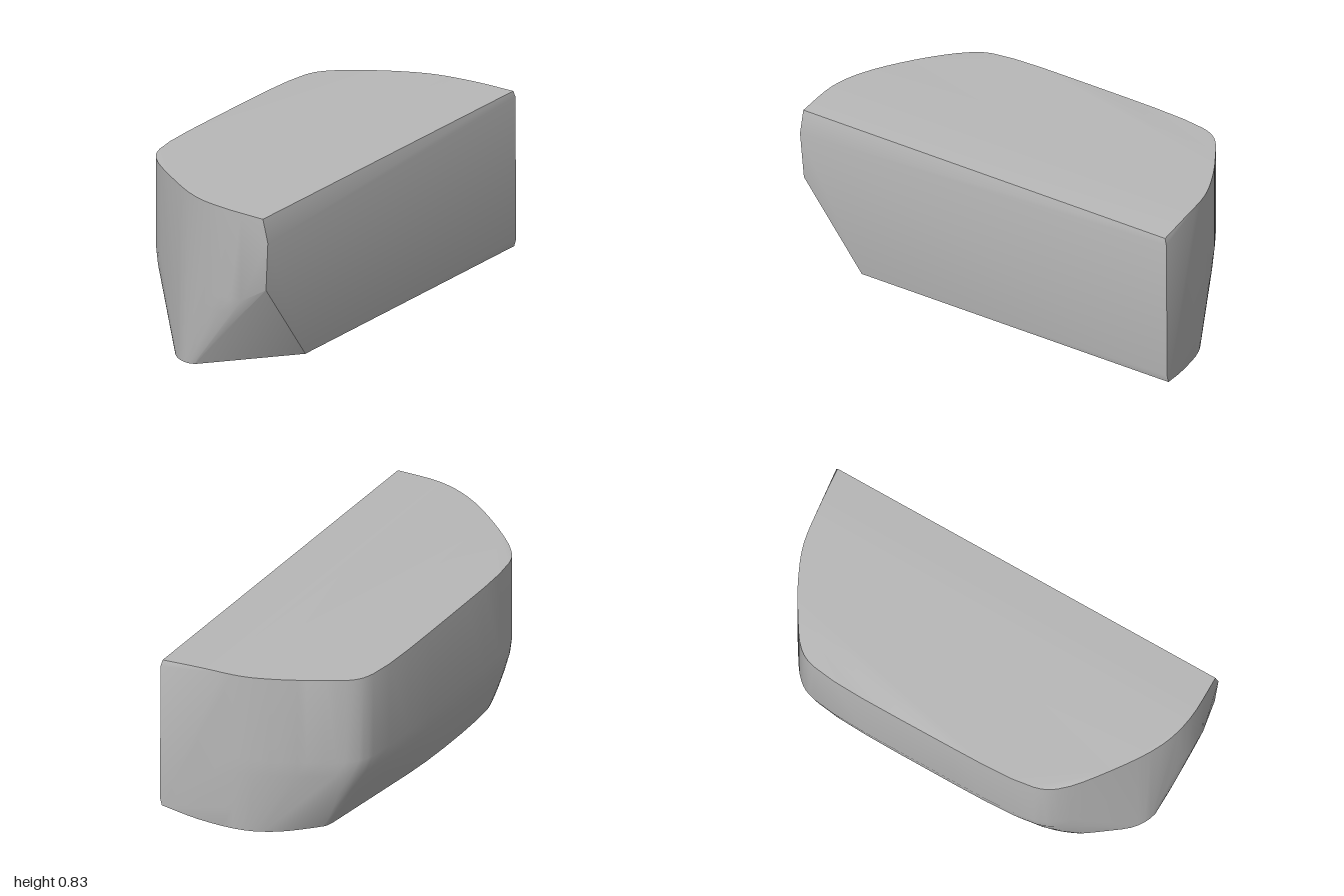
import * as THREE from 'three';
import { ConvexGeometry } from 'three/addons/geometries/ConvexGeometry.js';
import { toCreasedNormals } from 'three/addons/utils/BufferGeometryUtils.js';

const curve = (pts) => new THREE.CatmullRomCurve3(pts.map((p) => new THREE.Vector3(...p)));

export function createModel() {
  const stone = new THREE.MeshStandardMaterial({ color: 0xb8b8b8 });
  stone.name = 'grey stone';

  // Matching outlines of the rim and the underside, from back to front around the rounded side
  const rim = curve([
    [0.445, 0.82, -0.985], [0.25, 0.83, -0.965], [0.05, 0.832, -0.935], [-0.1, 0.833, -0.875],
    [-0.25, 0.833, -0.79], [-0.39, 0.83, -0.69], [-0.435, 0.83, -0.6], [-0.46, 0.833, 0],
    [-0.44, 0.833, 0.55], [-0.39, 0.83, 0.65], [-0.2, 0.833, 0.81], [0.03, 0.83, 0.95],
    [0.2, 0.83, 0.995], [0.43, 0.82, 0.995],
  ]);
  const base = curve([
    [0.44, 0.065, -1], [0.27, 0.025, -0.96], [0.06, 0.008, -0.91], [-0.08, 0, -0.82],
    [-0.2, 0, -0.7], [-0.23, 0, -0.66], [-0.25, 0, -0.46], [-0.31, 0, 0.05],
    [-0.3, 0, 0.59], [-0.27, 0, 0.68], [-0.2, 0, 0.78], [-0.1, 0.005, 0.9],
    [0.02, 0.015, 0.94], [0.44, 0.07, 0.67],
  ]);

  // Cut across the lower front corner
  const cut = [
    new THREE.Vector3(0.02, 0.015, 0.94),
    new THREE.Vector3(0.44, 0.475, 0.985),
    new THREE.Vector3(0.44, 0.07, 0.67),
  ];
  const cutPlane = new THREE.Plane().setFromCoplanarPoints(cut[0], cut[2], cut[1]);
  if (cutPlane.distanceToPoint(new THREE.Vector3(0, 0.4, 0)) > 0) cutPlane.negate();

  // Upright walls above, tucked inwards below: [height share, outward share]
  const tuck = [[0, 0], [0.12, 0.16], [0.28, 0.36], [0.53, 0.64], [0.8, 0.9], [1, 1]];
  const points = [...cut];
  const steps = 52;
  for (let i = 0; i <= steps; i++) {
    const top = rim.getPoint(i / steps);
    const low = base.getPoint(i / steps);
    low.y = Math.max(low.y, 0);
    points.push(top);
    for (const [h, out] of tuck) {
      const p = low.clone().lerp(top, out);
      p.y = THREE.MathUtils.lerp(low.y, 0.4, h);
      if (cutPlane.distanceToPoint(p) < 0.001) points.push(p);
    }
  }

  // Corners of the flat side
  points.push(
    new THREE.Vector3(0.457, 0.71, 0.995),
    new THREE.Vector3(0.45, 0.79, -0.995),
    new THREE.Vector3(0.45, 0.1, -1),
  );

  const block = new THREE.Mesh(toCreasedNormals(new ConvexGeometry(points), 0.5), stone);
  block.name = 'stoneBlock';

  const model = new THREE.Group();
  model.name = 'stone';
  model.add(block);
  return model;
}
